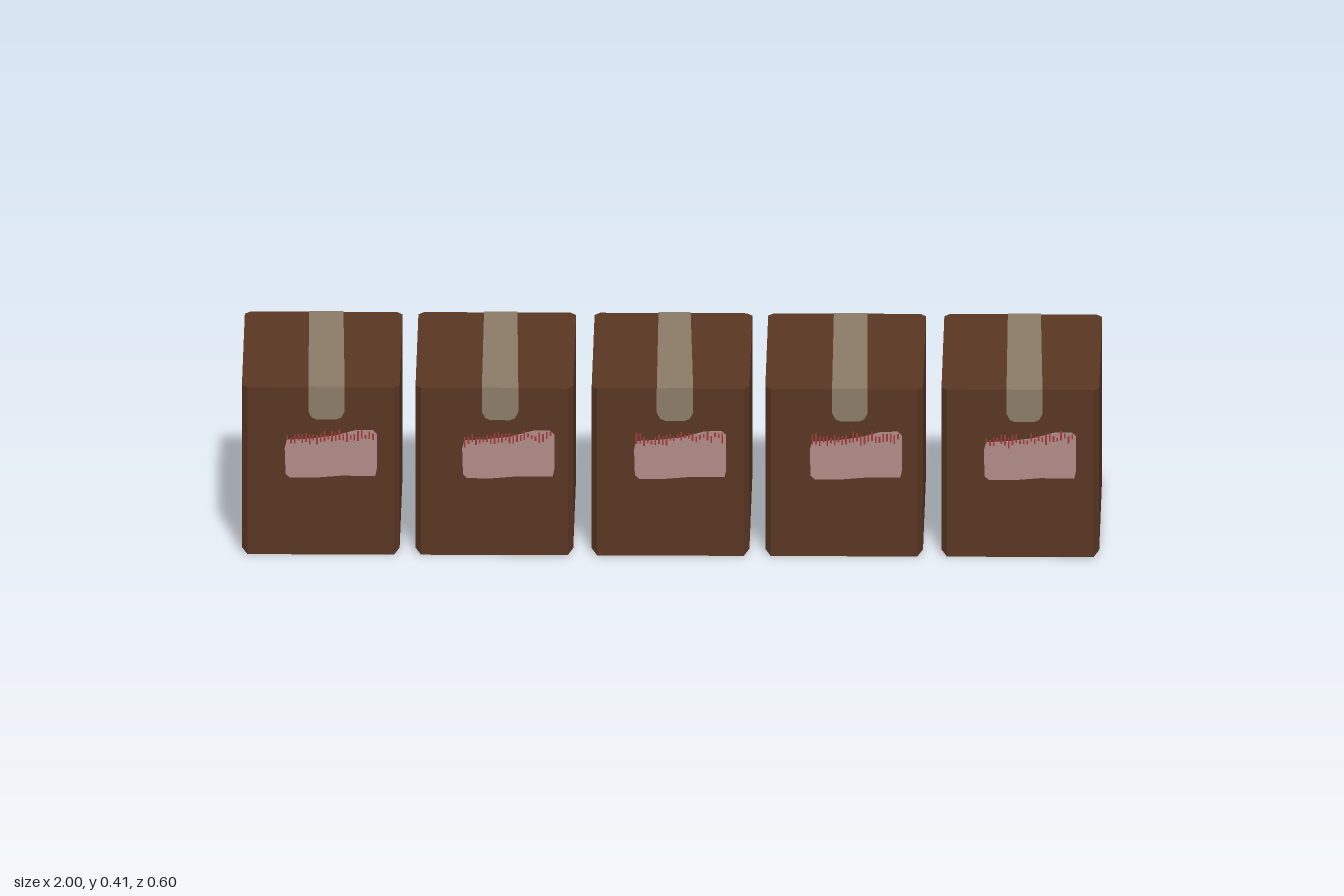
import * as THREE from 'three';

const H = 0.408, W = 0.184, D = 0.296; // height, half width, half depth
const CX = 0.013, CZ = 0.018;          // corner cut sizes

// Carton: octagonal outline, closing to a rectangle at the floor
function cartonGeometry() {
  const ring = (y) => [
    [W, y, D - CZ], [W, y, CZ - D], [W - CX, y, -D], [CX - W, y, -D],
    [-W, y, CZ - D], [-W, y, D - CZ], [CX - W, y, D], [W - CX, y, D],
  ];
  const x = W - CX;
  const base = [[x, 0, D], [x, 0, -D], [x, 0, -D], [-x, 0, -D], [-x, 0, -D], [-x, 0, D], [-x, 0, D], [x, 0, D]];
  const rings = [base, ring(0.012), ring(H)];
  const pos = [];
  const tri = (a, b, c) => pos.push(...a, ...b, ...c);
  for (let r = 0; r < 2; r++) {
    for (let i = 0; i < 8; i++) {
      const j = (i + 1) % 8, lo = rings[r], hi = rings[r + 1];
      if (lo[i].join() !== lo[j].join()) tri(lo[i], lo[j], hi[j]);
      tri(lo[i], hi[j], hi[i]);
    }
  }
  for (let i = 1; i < 7; i++) {
    tri(rings[2][0], rings[2][i], rings[2][i + 1]);
    tri(base[0], base[i + 1], base[i]);
  }
  const g = new THREE.BufferGeometry();
  g.setAttribute('position', new THREE.Float32BufferAttribute(pos, 3));
  g.computeVertexNormals();
  return g;
}

// Flat plate from 2D points
function plate(points, depth) {
  const shape = new THREE.Shape(points.map(([x, y]) => new THREE.Vector2(x, y)));
  return new THREE.ExtrudeGeometry(shape, { depth, bevelEnabled: false });
}

// Tape end hanging over an edge, with a rounded foot
const flapPoints = (l, r, foot) => [
  [l, H + 0.001], [l, foot + 0.02], [l + 0.008, foot + 0.005], [l + 0.02, foot],
  [r - 0.02, foot], [r - 0.008, foot + 0.005], [r, foot + 0.02], [r, H + 0.001],
];

export function createModel() {
  const mat = (name, color) => new THREE.MeshStandardMaterial({ name, color });
  const cardboard = mat('cardboard', 0x5a3623);
  const tape = mat('tape', 0x8a7c66);
  const paper = mat('label paper', 0xb18b87);
  const red = mat('red print', 0xa03a36);

  let seed = 7;
  const rand = () => (seed = (seed * 16807) % 2147483647) / 2147483647;

  const model = new THREE.Group();
  model.name = 'cartonRow';
  const carton = cartonGeometry();

  // centre x, tape left/right edges at the front, then at the back, label left edge
  const boxes = [
    [-0.816, -0.845, -0.760, -0.850, -0.770, -0.900],
    [-0.411, -0.440, -0.355, -0.442, -0.364, -0.486],
    [0.000, -0.032, 0.053, -0.035, 0.040, -0.085],
    [0.405, 0.377, 0.460, 0.374, 0.453, 0.325],
    [0.816, 0.784, 0.868, 0.780, 0.857, 0.731],
  ];

  boxes.forEach(([cx, fl, fr, bl, br, ll], n) => {
    const box = new THREE.Group();
    box.name = 'box' + (n + 1);
    box.position.x = cx;
    model.add(box);
    const add = (name, geometry, material, z = 0) => {
      const m = new THREE.Mesh(geometry, material);
      m.name = name;
      m.position.z = z;
      box.add(m);
      return m;
    };
    add('carton', carton, cardboard);

    // tape over the top and down both ends
    const strip = add('topTape', plate([
      [fl - cx, -D], [fr - cx, -D], [br - cx, D], [bl - cx, D],
    ], 0.002), tape);
    strip.rotation.x = -Math.PI / 2;
    strip.position.y = H;
    add('frontTape', plate(flapPoints(fl - cx, fr - cx, 0.33), 0.002), tape, D);
    add('backTape', plate(flapPoints(bl - cx, br - cx, 0.337), 0.002), tape, -D - 0.002);

    // slightly crooked label with worn corners
    const l = ll - cx, r = l + 0.215;
    add('label', plate([
      [l + 0.002, 0.197], [l + 0.012, 0.188], [l + 0.07, 0.188], [l + 0.13, 0.193], [r - 0.004, 0.193],
      [r, 0.21], [r, 0.295], [r - 0.01, 0.305], [r - 0.05, 0.304],
      [r - 0.1, 0.29], [l + 0.06, 0.283], [l + 0.005, 0.28], [l, 0.26],
    ], 0.002), paper, D);

    // band of ragged red ticks along the label's top
    const ticks = new THREE.Group();
    ticks.name = 'redTicks';
    box.add(ticks);
    for (let i = 0; i < 24; i++) {
      const x = l + 0.006 + i * 0.0087;
      const h = 0.008 + rand() * 0.018;
      const y = 0.277 + (i / 24) * 0.012 + (rand() - 0.5) * 0.012;
      const t = new THREE.Mesh(new THREE.BoxGeometry(0.004, h, 0.003), red);
      t.name = 'redTick';
      t.position.set(x, y + 0.004, D + 0.0015);
      ticks.add(t);
    }
  });
  return model;
}
